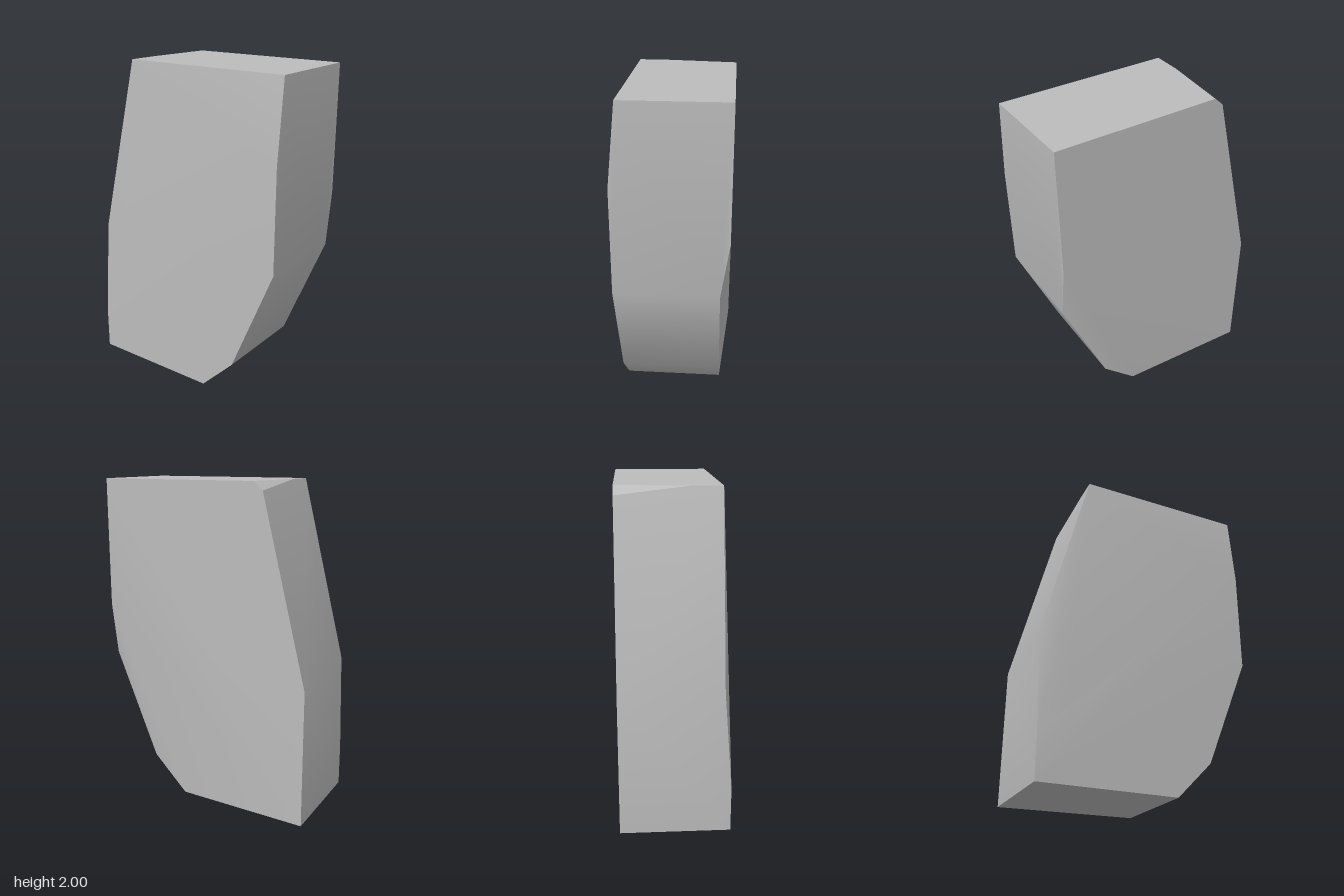
import * as THREE from 'three';
import { ConvexGeometry } from 'three/addons/geometries/ConvexGeometry.js';
import { toCreasedNormals } from 'three/addons/utils/BufferGeometryUtils.js';

const X = 0.33, INSET = 0.28, Z = 0.667;

// Corner rings of the faceted slab, each point as [x, y, z]
const topRing = [
  [-INSET, 2, Z], [X, 2, Z],
  [X, 2, -0.335], [X, 1.95, -0.39],   // nicked rear corner
  [-0.1, 2, -0.386], [-INSET, 2, -0.39],
];
const middleRing = [
  [-X, 1.52, Z], [X, 1.22, Z],        // where the side bevels meet the front
  [-X, 0.89, Z], [INSET, 0.89, Z],    // front knee
  [-INSET, 0.89, -Z], [X, 0.84, -Z],  // rear knee
  [-X, 0.42, -0.51], [-X, 0.27, -Z],  // rear end of the side bevel
];
const bottomRing = [
  [-X, 0.22, 0.39], [INSET, 0.22, 0.39],
  [-X, 0, 0.17], [INSET, 0, 0.17],
  [-X, 0, -Z], [X, 0, -Z],
];

export function createModel() {
  const grey = new THREE.MeshStandardMaterial({ color: 0xbcbcbc });
  grey.name = 'plain grey';

  // Convex slab: shallow bends are shaded smooth, steep edges stay sharp
  const corners = [...topRing, ...middleRing, ...bottomRing].map((p) => new THREE.Vector3(...p));
  const slab = new THREE.Mesh(toCreasedNormals(new ConvexGeometry(corners), Math.PI / 6), grey);
  slab.name = 'facetedSlab';

  const group = new THREE.Group();
  group.name = 'facetedBlock';
  group.add(slab);
  return group;
}
